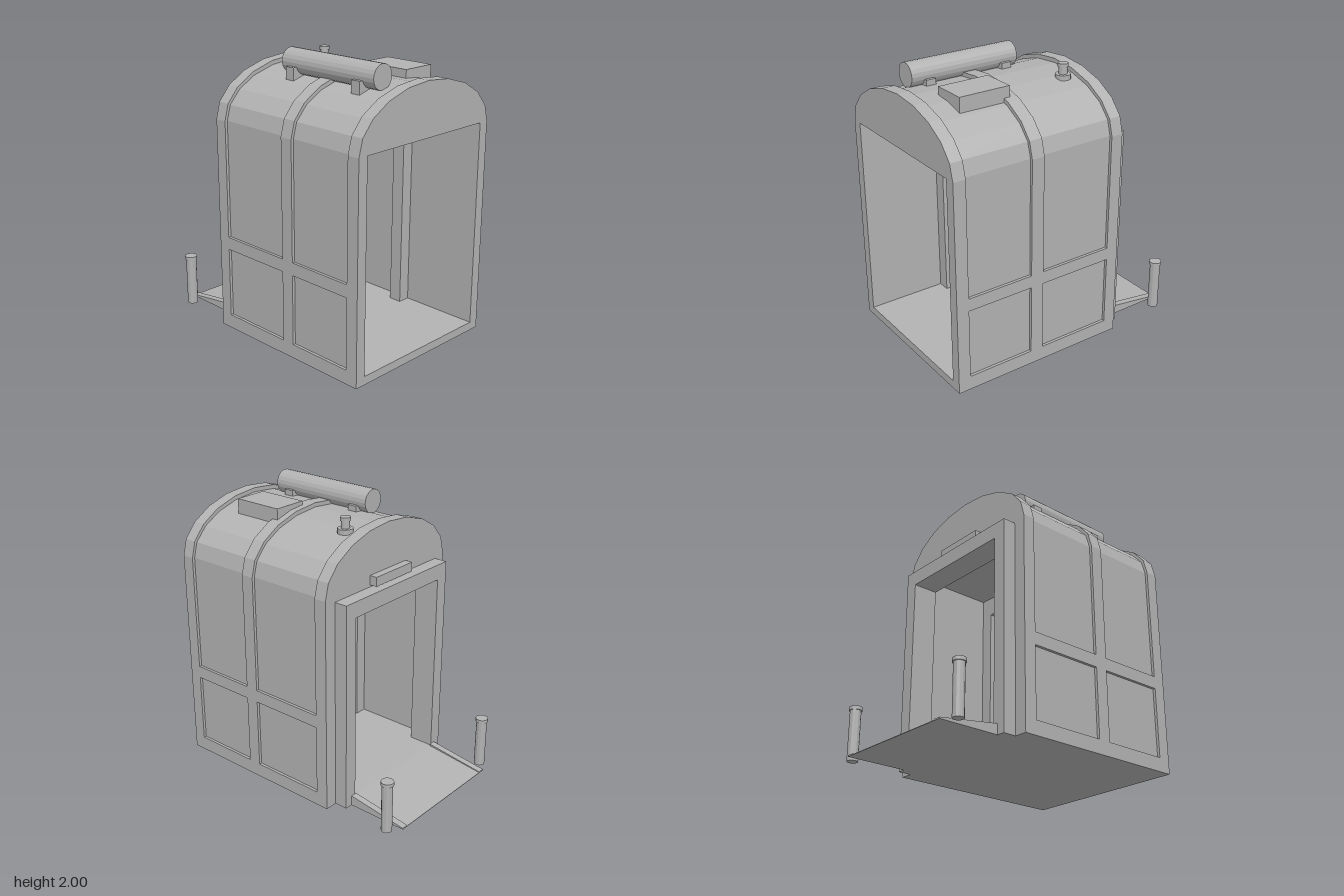
import * as THREE from 'three';

const grey = new THREE.MeshStandardMaterial({ color: 0xb2b2b2 });
grey.name = 'plain grey';
grey.flatShading = true;

// Arched outline: straight sides with a ten-sided elliptical vault
function archShape(halfWidth, rise) {
  const spring = 1.52;
  const s = new THREE.Shape();
  s.moveTo(-halfWidth, 0);
  s.lineTo(halfWidth, 0);
  for (let i = 0; i <= 10; i++) {
    const a = (i / 10) * Math.PI;
    s.lineTo(Math.cos(a) * halfWidth, spring + Math.sin(a) * rise);
  }
  return s;
}

function rectShape(halfWidth, y0, y1) {
  const s = new THREE.Shape();
  s.moveTo(-halfWidth, y0);
  s.lineTo(halfWidth, y0);
  s.lineTo(halfWidth, y1);
  s.lineTo(-halfWidth, y1);
  s.closePath();
  return s;
}

export function createModel() {
  const model = new THREE.Group();
  model.name = 'shelter';

  const add = (name, geometry, x = 0, y = 0, z = 0) => {
    const mesh = new THREE.Mesh(geometry, grey);
    mesh.name = name;
    mesh.position.set(x, y, z);
    model.add(mesh);
    return mesh;
  };
  const box = (name, x0, x1, y0, y1, z0, z1) =>
    add(name, new THREE.BoxGeometry(x1 - x0, y1 - y0, z1 - z0),
      (x0 + x1) / 2, (y0 + y1) / 2, (z0 + z1) / 2);
  const cylinder = (name, r, y0, y1, x, z, sides) =>
    add(name, new THREE.CylinderGeometry(r, r, y1 - y0, sides), x, (y0 + y1) / 2, z);
  // Slice of the body between two depths, with a rectangular passage
  const slice = (name, shape, halfOpening, top, z0, z1) => {
    shape.holes.push(rectShape(halfOpening, 0.06, top));
    add(name, new THREE.ExtrudeGeometry(shape, { depth: z1 - z0, bevelEnabled: false }), 0, 0, z0);
  };
  const outer = () => archShape(0.625, 0.37);
  const inner = () => archShape(0.605, 0.34);

  // Body: three raised ribs with recessed skin between them
  slice('frontRib', outer(), 0.55, 1.52, 0.835, 0.925);
  slice('frontSkin', inner(), 0.55, 1.52, 0.345, 0.835);
  slice('middleRib', outer(), 0.46, 1.38, 0.25, 0.345);
  slice('rearSkin', inner(), 0.55, 1.52, -0.3, 0.25);
  slice('rearRib', outer(), 0.44, 1.38, -0.39, -0.3);

  // Horizontal rails framing the side panels
  for (const side of [-1, 1]) {
    for (const [z0, z1] of [[0.345, 0.835], [-0.3, 0.25]]) {
      for (const [y0, y1] of [[0, 0.1], [0.6, 0.69]]) {
        const a = side * 0.6, b = side * 0.625;
        box('sideRail', Math.min(a, b), Math.max(a, b), y0, y1, z0, z1);
      }
    }
  }

  // Rear door frame and the lamp above it
  slice('doorFrame', rectShape(0.535, 0, 1.49), 0.44, 1.38, -0.485, -0.39);
  box('doorLamp', -0.19, 0.19, 1.505, 1.57, -0.445, -0.385);

  // Entry ramp with slightly raised side curbs
  const wedge = (name, x0, x1, high, low) => {
    const s = new THREE.Shape();
    s.moveTo(0.485, 0);
    s.lineTo(0.925, 0);
    s.lineTo(0.925, low);
    s.lineTo(0.485, high);
    s.closePath();
    const g = new THREE.ExtrudeGeometry(s, { depth: x1 - x0, bevelEnabled: false });
    g.rotateY(Math.PI / 2);
    add(name, g, x0);
  };
  wedge('ramp', -0.43, 0.43, 0.06, 0.004);
  wedge('rampCurb', -0.478, -0.43, 0.073, 0.01);
  wedge('rampCurb', 0.43, 0.478, 0.073, 0.01);

  // Bollards beside the ramp
  for (const x of [-0.55, 0.55]) {
    cylinder('bollardPost', 0.038, 0, 0.35, x, -0.845, 12);
    cylinder('bollardCap', 0.045, 0.35, 0.375, x, -0.845, 12);
  }

  // Roof tank on two saddles
  const tank = cylinder('roofTank', 0.085, -0.41, 0.41, 0, 0, 20);
  tank.rotation.x = Math.PI / 2;
  tank.position.set(-0.22, 1.915, 0.33);
  for (const z of [0.02, 0.61]) {
    box('tankSaddle', -0.328, -0.115, 1.79, 1.89, z - 0.036, z + 0.036);
  }

  // Roof hatch and vent
  box('roofHatch', 0.075, 0.322, 1.805, 1.91, 0.3, 0.675);
  cylinder('ventBase', 0.054, 1.825, 1.86, 0.217, -0.205, 12);
  cylinder('ventStem', 0.03, 1.85, 1.915, 0.217, -0.205, 12);
  cylinder('ventCap', 0.036, 1.91, 1.935, 0.217, -0.205, 12);

  return model;
}
